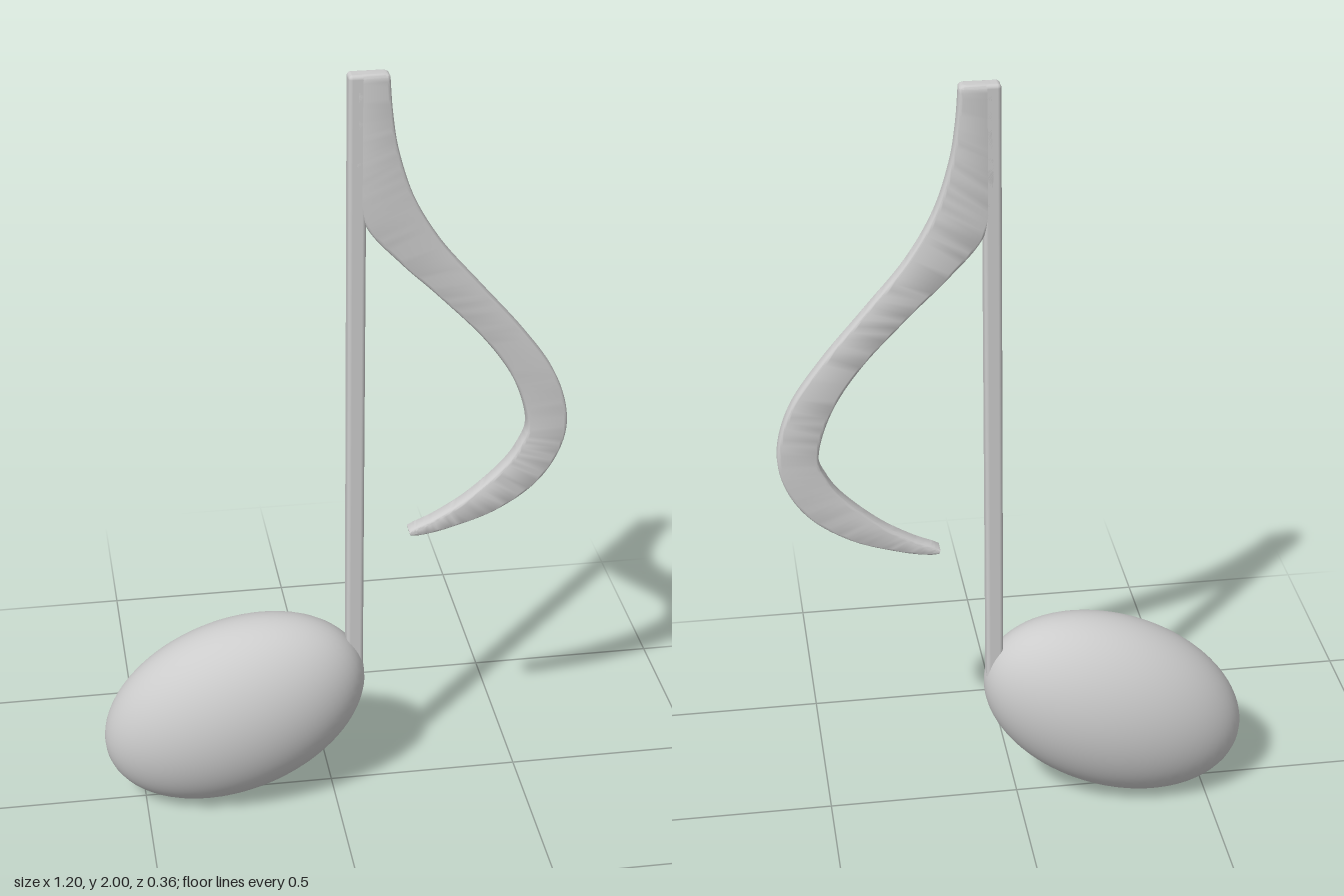
import * as THREE from 'three';
import { toCreasedNormals } from 'three/addons/utils/BufferGeometryUtils.js';
import { RoundedBoxGeometry } from 'three/addons/geometries/RoundedBoxGeometry.js';

const DEPTH = 0.045;
const BEVEL = 0.01;
const TOP = 2;

// Outer and inner edge of the flag, station by station from top to tip: [xOut, yOut, xIn, yIn]
const FLAG = [
  [0.135, 2, 0.05, 2], [0.143, 1.9, 0.05, 1.88], [0.16, 1.8, 0.05, 1.74],
  [0.2, 1.68, 0.08, 1.617], [0.27, 1.56, 0.167, 1.514], [0.37, 1.44, 0.258, 1.425],
  [0.48, 1.31, 0.378, 1.298], [0.562, 1.19, 0.457, 1.18], [0.597, 1.07, 0.495, 1.06],
  [0.58, 0.97, 0.475, 0.99], [0.52, 0.88, 0.43, 0.928], [0.42, 0.811, 0.345, 0.852],
  [0.3, 0.769, 0.265, 0.802], [0.225, 0.754, 0.212, 0.778], [0.2, 0.757, 0.197, 0.768],
];

// Sweeps a rounded rectangle between the two edges
function flagGeometry() {
  const outer = new THREE.SplineCurve(FLAG.map(([x, y]) => new THREE.Vector2(x, y)));
  const inner = new THREE.SplineCurve(FLAG.map(([, , x, y]) => new THREE.Vector2(x, y)));
  const steps = 112;
  const cornerSteps = 5;
  const ringSize = 4 * (cornerSteps + 1);
  // Extra stations close to the top round its edge
  const stations = [0, 0.0003, 0.001, 0.002, 0.004, 0.0065];
  for (let i = 1; i <= steps; i++) stations.push(i / steps);

  const positions = [];
  for (const t of stations) {
    const o = outer.getPoint(t);
    const n = inner.getPoint(t);
    const middle = o.clone().add(n).multiplyScalar(0.5);
    const across = o.clone().sub(n).normalize();
    const u = Math.min(1, Math.max(0, (TOP - middle.y) / BEVEL));
    const inset = BEVEL * (1 - Math.sqrt(1 - (1 - u) ** 2));
    const halfWidth = o.distanceTo(n) / 2 - inset;
    const halfDepth = DEPTH / 2 - inset;
    const r = Math.min(BEVEL, halfWidth * 0.95);
    for (let corner = 0; corner < 4; corner++) {
      const sx = corner === 0 || corner === 3 ? 1 : -1;
      const sz = corner < 2 ? 1 : -1;
      for (let k = 0; k <= cornerSteps; k++) {
        const a = (corner + k / cornerSteps) * Math.PI / 2;
        const s = sx * (halfWidth - r) + r * Math.cos(a);
        const z = sz * (halfDepth - r) + r * Math.sin(a);
        positions.push(middle.x + across.x * s, middle.y + across.y * s, z);
      }
    }
  }

  const index = [];
  const last = (stations.length - 1) * ringSize;
  for (let i = 0; i < last; i += ringSize) {
    for (let j = 0; j < ringSize; j++) {
      const a = i + j;
      const b = i + (j + 1) % ringSize;
      index.push(a, b, a + ringSize, b, b + ringSize, a + ringSize);
    }
  }
  // End caps
  for (let j = 1; j < ringSize - 1; j++) {
    index.push(0, j + 1, j, last, last + j, last + j + 1);
  }

  const geometry = new THREE.BufferGeometry();
  geometry.setAttribute('position', new THREE.Float32BufferAttribute(positions, 3));
  geometry.setIndex(index);
  return toCreasedNormals(geometry, 0.6);
}

export function createModel() {
  const group = new THREE.Group();
  group.name = 'musicNote';
  const material = new THREE.MeshStandardMaterial({ color: 0xcccccc });

  function add(name, geometry, x, y, z) {
    const mesh = new THREE.Mesh(geometry, material);
    mesh.name = name;
    mesh.position.set(x, y, z);
    group.add(mesh);
    return mesh;
  }

  // Note head: a tilted, slightly turned ellipsoid
  const head = add('noteHead', new THREE.SphereGeometry(1, 64, 40), -0.258, 0.264, 0);
  head.scale.set(0.36, 0.24, 0.179);
  head.rotation.set(0, -0.054, 0.417);

  // Stem, sunk into the head
  const bottom = 0.36;
  const stem = new RoundedBoxGeometry(0.044, TOP - bottom, DEPTH, 4, BEVEL);
  add('stem', stem, 0.058, (TOP + bottom) / 2, 0.01);

  // Curled flag
  add('flag', flagGeometry(), 0, 0, 0.01);

  return group;
}
